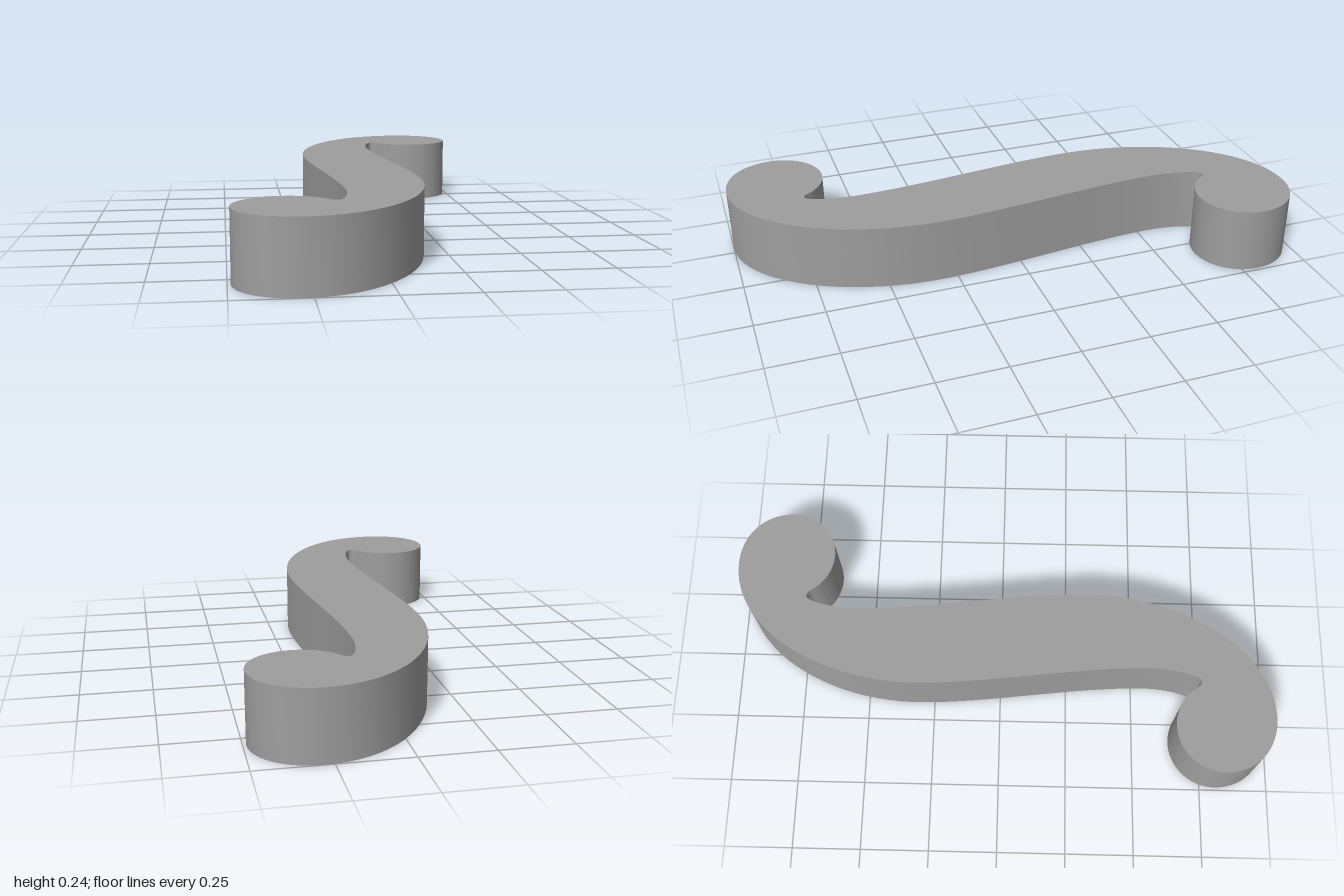
import * as THREE from 'three';
import { toCreasedNormals } from 'three/addons/utils/BufferGeometryUtils.js';

export function createModel() {
  const group = new THREE.Group();
  group.name = 'sCurve';
  const height = 0.24;

  // Half of the outline: up one side of the stem, round the curled end, back down
  const half = new THREE.Path();
  half.moveTo(0.181, -0.32);
  half.bezierCurveTo(0.181, -0.06, 0.106, 0.29, 0.106, 0.55);
  half.bezierCurveTo(0.106, 0.63, 0.13, 0.733, 0.152, 0.733);
  half.quadraticCurveTo(0.168, 0.733, 0.1816, 0.7101);
  half.absarc(0.32, 0.807, 0.169, THREE.MathUtils.degToRad(215), Math.PI * 2, false);
  half.bezierCurveTo(0.489, 0.92, 0.4, 1, 0.28, 1);
  half.bezierCurveTo(0.02, 1, -0.181, 0.67, -0.181, 0.32);

  // The other half is the same outline turned by 180 degrees
  const points = half.getPoints(20).slice(0, -1);
  const turned = points.map((p) => new THREE.Vector2(-p.x, -p.y));
  const shape = new THREE.Shape([...points, ...turned]);

  // Extrude upwards and lay the outline flat on the ground
  const geometry = new THREE.ExtrudeGeometry(shape, { depth: height, bevelEnabled: false });
  geometry.rotateX(-Math.PI / 2);

  const body = new THREE.Mesh(
    toCreasedNormals(geometry, 0.6),
    new THREE.MeshStandardMaterial({ color: 0x9e9e9e })
  );
  body.name = 'scrollBody';
  group.add(body);
  return group;
}
